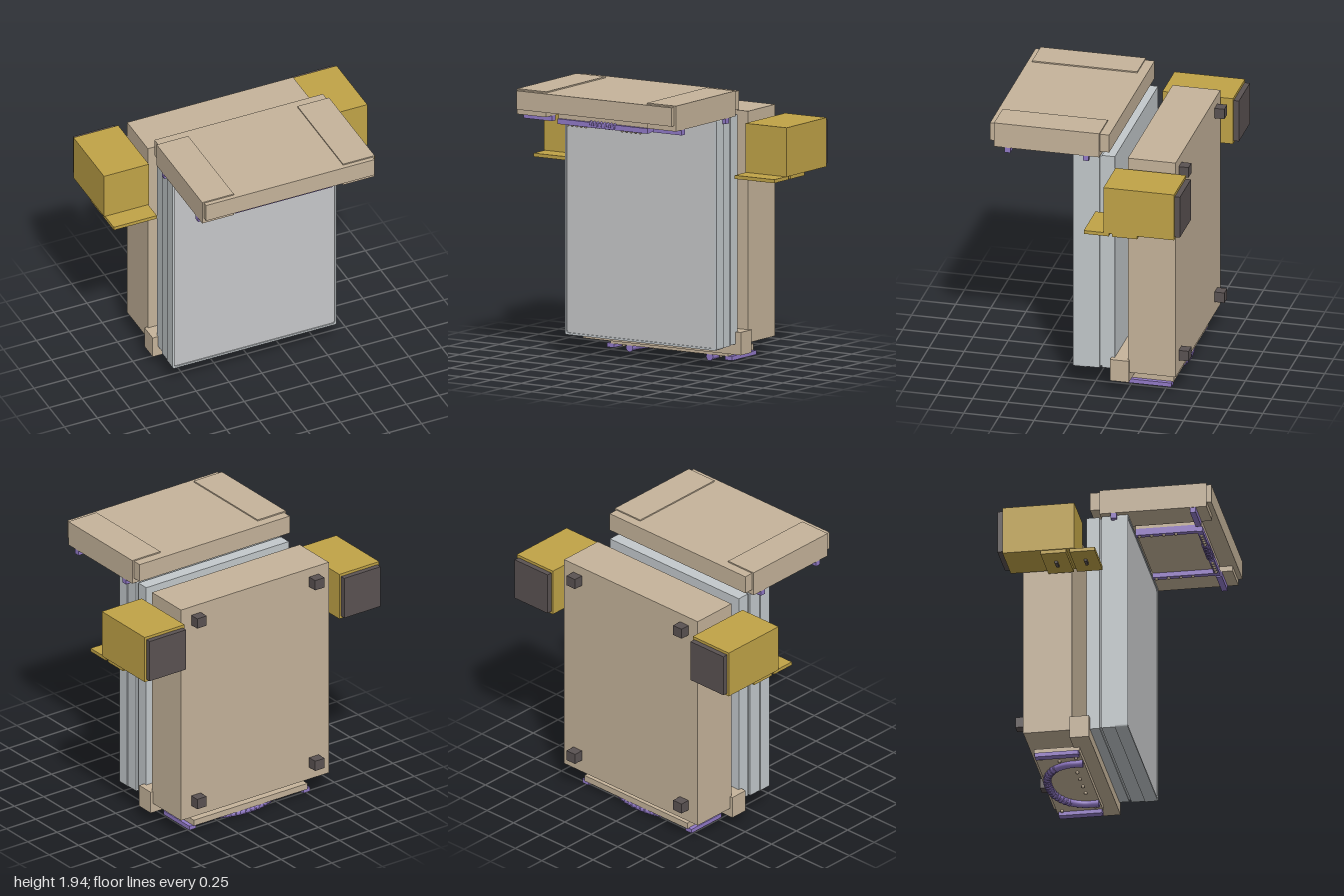
import * as THREE from 'three';

export function createModel() {
  const group = new THREE.Group();
  const mat = (name, color) => {
    const m = new THREE.MeshStandardMaterial({ color });
    m.name = name;
    return m;
  };
  const tan = mat('tan cloth', 0xc5b39a);
  const gold = mat('mustard pouch', 0xc0a347);
  const steel = mat('pale steel', 0xc3c9cc);
  const grey = mat('panel grey', 0xc6c7c9);
  const dark = mat('dark rubber', 0x5a5252);
  const purple = mat('purple webbing', 0x927ac8);

  const add = (name, geometry, material) => {
    const m = new THREE.Mesh(geometry, material);
    m.name = name;
    group.add(m);
    return m;
  };
  // Box given by its low and high limits on each axis
  const box = (name, material, x0, x1, y0, y1, z0, z1) => {
    const m = add(name, new THREE.BoxGeometry(x1 - x0, y1 - y0, z1 - z0), material);
    m.position.set((x0 + x1) / 2, (y0 + y1) / 2, (z0 + z1) / 2);
    return m;
  };
  const pair = (name, material, x0, x1, ...yz) => {
    box(name + 'Left', material, x0, x1, ...yz);
    box(name + 'Right', material, -x1, -x0, ...yz);
  };
  const stud = (name, x, y, z) =>
    add(name, new THREE.SphereGeometry(0.012, 10, 8), tan).position.set(x, y, z);

  // Rear case with four feet
  box('rearCase', tan, -0.63, 0.63, 0.15, 1.77, -0.6, -0.26);
  for (const y of [0.24, 1.63]) pair('rearFoot', dark, 0.463, 0.543, y, y + 0.075, -0.67, -0.6);

  // Band along the foot of the case
  box('lowerBand', tan, -0.65, 0.65, 0.082, 0.242, -0.272, -0.138);

  // Inner shell: back body, middle step and a rounded front frame
  box('shellBack', steel, -0.608, 0.608, 0.157, 1.76, -0.162, -0.07);
  box('shellMiddle', steel, -0.6, 0.6, 0.165, 1.75, -0.07, -0.055);
  box('shellBody', steel, -0.616, 0.616, 0.155, 1.76, -0.055, 0.04);
  const roundRect = (Type, w, y0, y1, r) => {
    const s = new Type();
    s.moveTo(-w + r, y0);
    s.lineTo(w - r, y0);
    s.quadraticCurveTo(w, y0, w, y0 + r);
    s.lineTo(w, y1 - r);
    s.quadraticCurveTo(w, y1, w - r, y1);
    s.lineTo(-w + r, y1);
    s.quadraticCurveTo(-w, y1, -w, y1 - r);
    s.lineTo(-w, y0 + r);
    s.quadraticCurveTo(-w, y0, -w + r, y0);
    return s;
  };
  const frame = roundRect(THREE.Shape, 0.624, 0.148, 1.765, 0.02);
  frame.holes.push(roundRect(THREE.Path, 0.61, 0.162, 1.752, 0.02));
  add('frontFrame', new THREE.ExtrudeGeometry(frame, { depth: 0.09, bevelEnabled: false }), steel)
    .position.z = 0.04;
  box('frontPanel', grey, -0.612, 0.612, 0.16, 1.754, 0.04, 0.122);

  // Top flap with raised end pieces
  box('topFlap', tan, -0.64, 0.64, 1.803, 1.934, -0.13, 0.717);
  pair('flapEnd', tan, 0.415, 0.655, 1.765, 1.943, -0.063, 0.685);

  // Straps, rails and grip below the flap
  for (const z of [0.015, 0.57]) pair('flapStrap', purple, 0.415, 0.652, 1.727, 1.766, z, z + 0.04);
  box('gripPlate', tan, -0.37, 0.37, 1.75, 1.804, 0.14, 0.6);
  box('gripBar', purple, -0.37, 0.37, 1.712, 1.748, 0.57, 0.61);
  pair('gripRail', purple, 0.33, 0.37, 1.716, 1.765, 0.14, 0.57);
  const grip = add('grip', new THREE.CylinderGeometry(0.024, 0.024, 0.2, 16), purple);
  grip.rotation.z = Math.PI / 2;
  grip.position.set(0, 1.735, 0.585);
  for (let i = 0; i < 8; i++) {
    const ring = add('gripRing', new THREE.TorusGeometry(0.022, 0.008, 8, 16), purple);
    ring.rotation.y = Math.PI / 2;
    ring.position.set(-0.098 + i * 0.028, 1.735, 0.585);
  }
  for (let i = 0; i < 5; i++) {
    for (const s of [-1, 1]) {
      stud('barStud', s * (0.15 + i * 0.037), 1.711, 0.59);
      if (i < 4) stud('railStud', s * 0.35, 1.714, 0.165 + i * 0.085);
    }
  }

  // Bottom plate with side rails and studs
  box('bottomPlate', tan, -0.485, 0.485, 0.046, 0.09, -0.55, -0.23);
  pair('bottomRail', purple, 0.458, 0.515, 0.018, 0.048, -0.54, -0.235);
  for (const s of [-1, 1]) {
    [[0.4, -0.27], [0.37, -0.39], [0.43, -0.51], [0.17, -0.3], [0.06, -0.3]]
      .forEach(([x, z]) => stud('plateStud', s * x, 0.038, z));
  }

  // Curved carrying handle with ribs round its bend
  const path = new THREE.CatmullRomCurve3([
    [-0.33, -0.24], [-0.325, -0.34], [-0.27, -0.44], [-0.15, -0.51], [0, -0.53],
    [0.15, -0.51], [0.27, -0.44], [0.325, -0.34], [0.33, -0.24],
  ].map(([x, z]) => new THREE.Vector3(x, 0.029, z)));
  add('handle', new THREE.TubeGeometry(path, 48, 0.025, 12), purple);
  for (const s of [-1, 1]) {
    const cap = add('handleEnd', new THREE.CylinderGeometry(0.028, 0.028, 0.02, 16), purple);
    cap.rotation.x = Math.PI / 2;
    cap.position.set(s * 0.33, 0.029, -0.243);
  }
  for (let i = 0; i < 17; i++) {
    const t = 0.2 + i * 0.0375;
    const rib = add('handleRib', new THREE.TorusGeometry(0.022, 0.007, 8, 14), purple);
    rib.position.copy(path.getPointAt(t));
    rib.quaternion.setFromUnitVectors(new THREE.Vector3(0, 0, 1), path.getTangentAt(t));
  }

  // Side pouches with dark backs, flaps and toggles
  pair('pouch', gold, 0.66, 1, 1.357, 1.7, -0.682, -0.18);
  pair('pouchBack', dark, 0.675, 0.985, 1.375, 1.68, -0.72, -0.682);
  pair('pouchFlap', gold, 0.665, 0.992, 1.332, 1.357, -0.216, -0.038);
  pair('pouchFlapRear', gold, 0.665, 0.992, 1.332, 1.357, -0.418, -0.24);
  for (const z of [-0.125, -0.33]) pair('pouchToggle', dark, 0.792, 0.862, 1.316, 1.333, z - 0.01, z + 0.01);

  return group;
}
